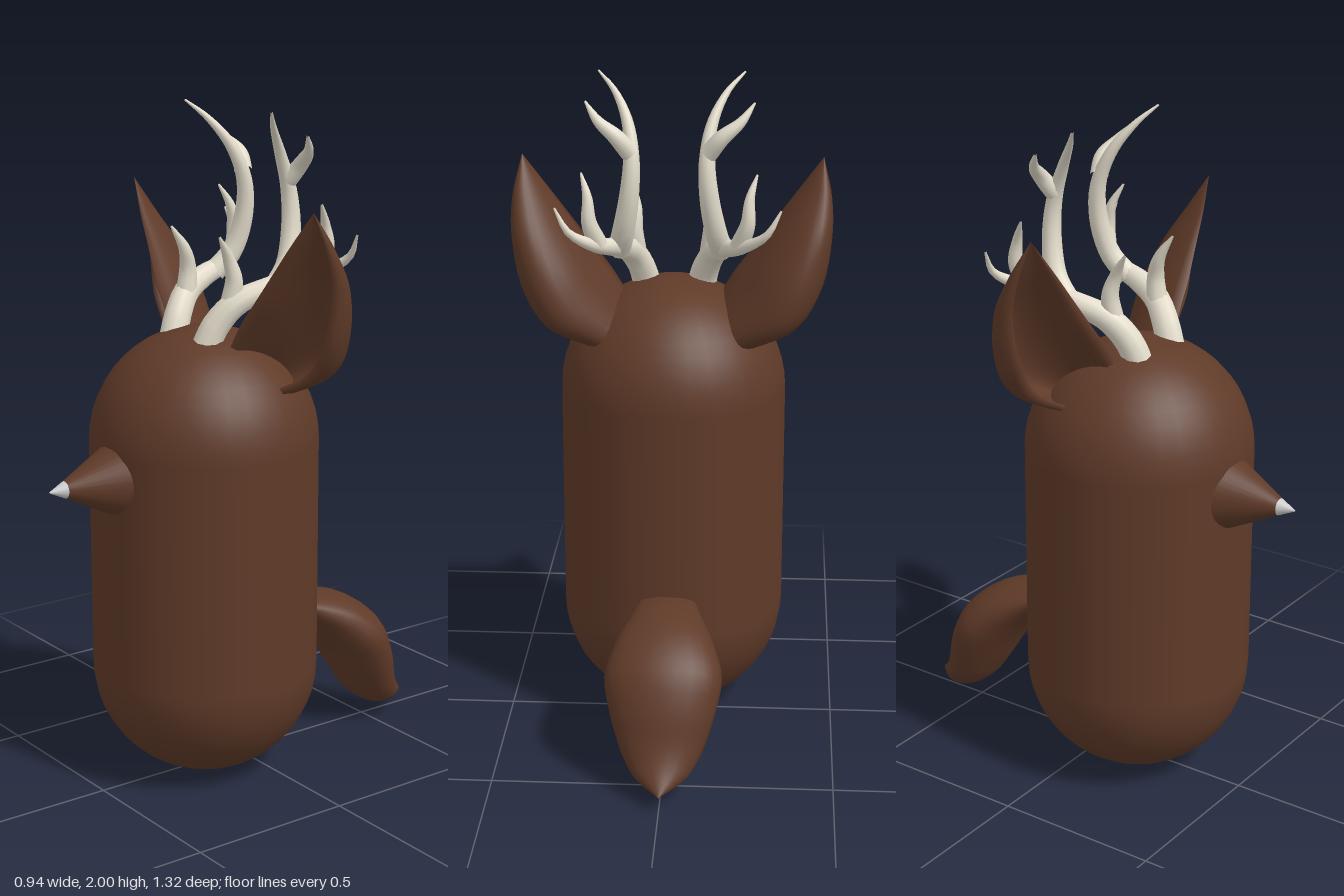
import * as THREE from 'three';

const V = (p) => new THREE.Vector3(...p);
const spline = (pts) => new THREE.CatmullRomCurve3(pts.map(V));

const brown = new THREE.MeshStandardMaterial({ color: 0x5f3a28 });
const ivory = new THREE.MeshStandardMaterial({ color: 0xe4ddcc });
const grey = new THREE.MeshStandardMaterial({ color: 0xcccccc });

// Smooth skin over closed rings, each running counter-clockwise about the direction of travel
function loft(rings) {
  const n = rings[0].length, index = [];
  for (let i = 0; i < rings.length - 1; i++) {
    for (let j = 0; j < n; j++) {
      const a = i * n + j, b = i * n + (j + 1) % n;
      index.push(a, b, a + n, b, b + n, a + n);
    }
  }
  const g = new THREE.BufferGeometry().setFromPoints(rings.flat());
  g.setIndex(index);
  g.computeVertexNormals();
  return g;
}

// Mirror image across x = 0 with the winding corrected
function mirrored(geometry) {
  const g = geometry.clone().scale(-1, 1, 1);
  const ix = g.index;
  for (let i = 0; i < ix.count; i += 3) {
    const b = ix.getX(i + 1);
    ix.setX(i + 1, ix.getX(i + 2));
    ix.setX(i + 2, b);
  }
  return g;
}

// Tube that narrows from r0 to r1, thinning fastest near its tip
function taperedTube(pts, r0, r1, power = 1.6) {
  const curve = spline(pts), segs = 24, sides = 10;
  const g = new THREE.TubeGeometry(curve, segs, 1, sides);
  const pos = g.attributes.position, p = new THREE.Vector3();
  for (let i = 0; i <= segs; i++) {
    const t = i / segs, c = curve.getPointAt(t);
    const r = r0 + (r1 - r0) * t ** power;
    for (let j = 0; j <= sides; j++) {
      const k = i * (sides + 1) + j;
      p.fromBufferAttribute(pos, k).sub(c).multiplyScalar(r).add(c);
      pos.setXYZ(k, p.x, p.y, p.z);
    }
  }
  return g;
}

// Cupped ear: inner edge, outer edge and back line, each from base to tip
function earGeometry() {
  const inner = spline([[0.13, 1.30, 0.14], [0.19, 1.40, 0.135], [0.25, 1.48, 0.125],
    [0.31, 1.565, 0.11], [0.37, 1.65, 0.095], [0.44, 1.75, 0.07]]);
  const outer = spline([[0.25, 1.195, 0.06], [0.375, 1.265, 0.0], [0.44, 1.37, 0.0],
    [0.468, 1.53, 0.0], [0.465, 1.64, 0.03], [0.44, 1.75, 0.07]]);
  const back = spline([[0.17, 1.22, -0.06], [0.27, 1.31, -0.1], [0.33, 1.41, -0.1],
    [0.38, 1.54, -0.055], [0.415, 1.65, 0.01], [0.44, 1.75, 0.07]]);
  const rings = [], steps = 24, arc = 14;
  for (let i = 0; i <= steps; i++) {
    const a = inner.getPoint(i / steps), b = outer.getPoint(i / steps);
    const mid = a.clone().lerp(b, 0.5);
    const side = b.clone().sub(mid), deep = back.getPoint(i / steps).sub(mid);
    const at = (t, w, d) => mid.clone()
      .addScaledVector(side, Math.cos(t) * w).addScaledVector(deep, Math.sin(t) * d);
    const ring = [];
    for (let j = 0; j <= arc; j++) ring.push(at(Math.PI * j / arc, 1, 1));
    for (let j = arc; j >= 0; j--) ring.push(at(Math.PI * j / arc, 0.78, 0.72));
    rings.push(ring);
  }
  return loft(rings);
}

// Leaf-shaped tail: upper line, lower line and half width along its length
function tailGeometry() {
  const top = spline([[0, 0.46, -0.12], [0, 0.472, -0.2], [0, 0.472, -0.28], [0, 0.44, -0.4],
    [0, 0.37, -0.495], [0, 0.27, -0.55], [0, 0.17, -0.58], [0, 0.11, -0.61], [0, 0.05, -0.66]]);
  const low = spline([[0, 0.42, -0.12], [0, 0.42, -0.2], [0, 0.385, -0.235], [0, 0.33, -0.29],
    [0, 0.25, -0.35], [0, 0.15, -0.41], [0, 0.075, -0.465], [0, 0.037, -0.54], [0, 0.05, -0.66]]);
  const width = spline([0.06, 0.085, 0.105, 0.145, 0.172, 0.15, 0.118, 0.08, 0].map((w) => [w, 0, 0]));
  const rings = [], steps = 32, sides = 24;
  for (let i = 0; i <= steps; i++) {
    const a = top.getPoint(i / steps), b = low.getPoint(i / steps);
    const mid = a.clone().lerp(b, 0.5), up = a.clone().sub(mid);
    const w = width.getPoint(i / steps).x, ring = [];
    for (let j = 0; j < sides; j++) {
      const t = 2 * Math.PI * j / sides;
      const p = mid.clone().addScaledVector(up, Math.sin(t));
      p.x = -w * Math.cos(t);
      ring.push(p);
    }
    rings.push(ring);
  }
  return loft(rings);
}

// Antler branches: name, path, start radius, end radius
const antlerParts = [
  ['antlerBeam', [[0.08, 1.32, 0.18], [0.095, 1.39, 0.15], [0.12, 1.45, 0.1], [0.145, 1.485, 0.02],
    [0.165, 1.51, -0.07], [0.215, 1.535, -0.15], [0.28, 1.58, -0.19], [0.32, 1.65, -0.185]], 0.043, 0.003],
  ['antlerUpright', [[0.15, 1.49, -0.02], [0.135, 1.55, -0.075], [0.115, 1.66, -0.105], [0.107, 1.77, -0.1],
    [0.12, 1.87, -0.06], [0.16, 1.95, -0.005], [0.21, 2.0, 0.04]], 0.034, 0.003],
  ['antlerUpperTine', [[0.11, 1.79, -0.1], [0.15, 1.84, -0.115], [0.2, 1.88, -0.1], [0.24, 1.93, -0.065]], 0.027, 0.003],
  ['antlerOuterTine', [[0.2, 1.53, -0.13], [0.225, 1.6, -0.15], [0.23, 1.67, -0.14], [0.25, 1.735, -0.11]], 0.027, 0.003],
  ['antlerBrowTine', [[0.11, 1.44, 0.11], [0.115, 1.52, 0.1], [0.11, 1.58, 0.115], [0.12, 1.65, 0.155]], 0.032, 0.003],
];

export function createModel() {
  const model = new THREE.Group();
  const add = (parent, name, geometry, material) => {
    const mesh = new THREE.Mesh(geometry, material);
    mesh.name = name;
    parent.add(mesh);
    return mesh;
  };

  // Upright rounded body
  add(model, 'body', new THREE.CapsuleGeometry(0.34, 0.69, 12, 32), brown)
    .position.set(0, 0.686, 0.125);

  // Conical snout with a pale tip
  const snout = new THREE.CylinderGeometry(0.025, 0.13, 0.21, 32, 1, true);
  add(model, 'snout', snout.rotateX(Math.PI / 2), brown).position.set(0, 0.957, 0.505);
  const tip = new THREE.CylinderGeometry(0.002, 0.025, 0.05, 32);
  add(model, 'noseTip', tip.rotateX(Math.PI / 2), grey).position.set(0, 0.957, 0.635);

  add(model, 'tail', tailGeometry(), brown);

  // Ears and antlers on both sides
  const ear = earGeometry();
  add(model, 'leftEar', ear, brown);
  add(model, 'rightEar', mirrored(ear), brown);
  for (const side of ['left', 'right']) {
    const antler = new THREE.Group();
    antler.name = side + 'Antler';
    for (const [name, path, r0, r1] of antlerParts) {
      const g = taperedTube(path, r0, r1);
      add(antler, name, side === 'left' ? g : mirrored(g), ivory);
    }
    model.add(antler);
  }
  return model;
}
